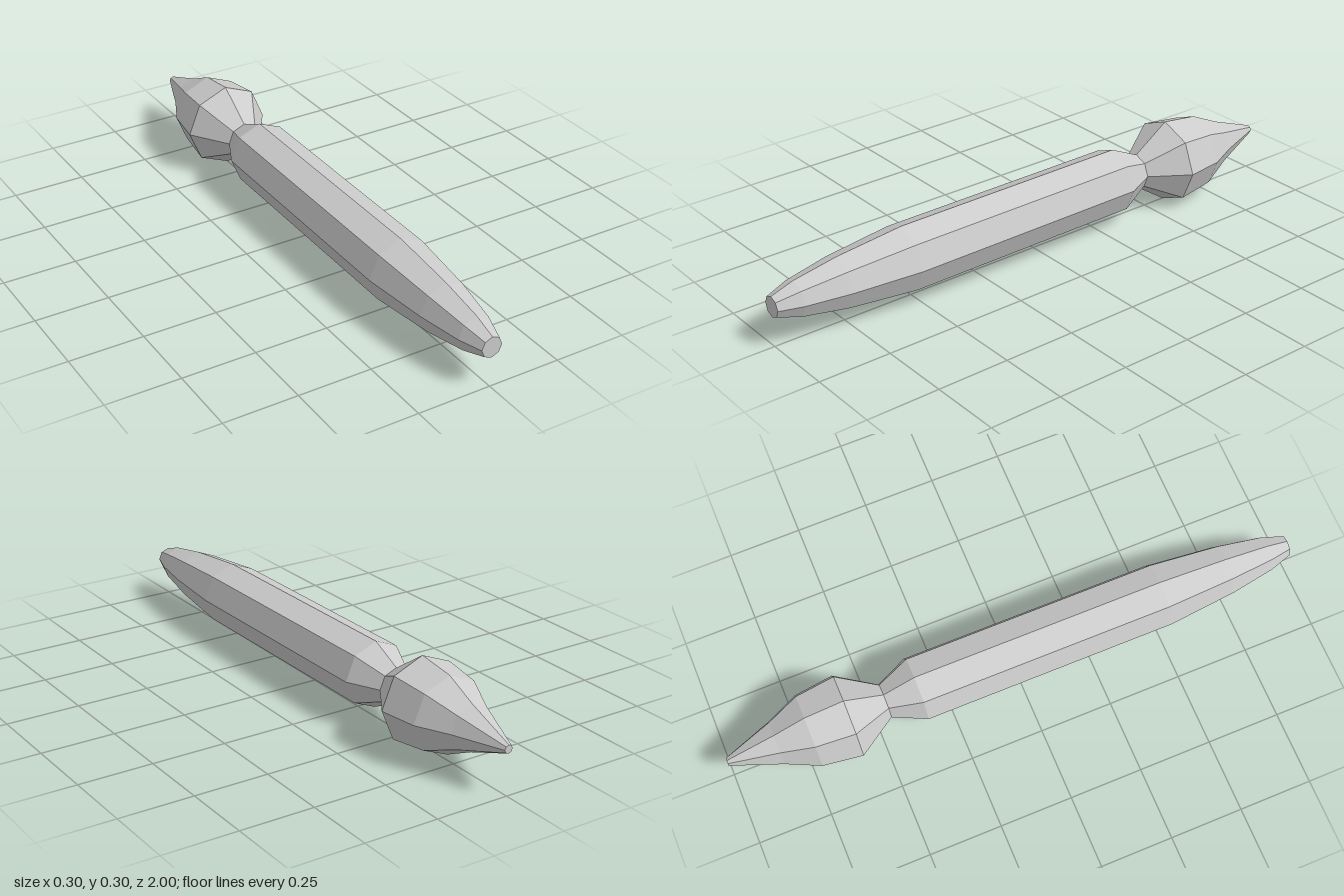
import * as THREE from 'three';

// Eight-sided turned part along z; profile is [radius, z] from back to front
function turned(name, profile, material) {
  const points = profile.map(([r, z]) => new THREE.Vector2(r, z));
  const geometry = new THREE.LatheGeometry(points, 8);
  geometry.rotateX(Math.PI / 2);
  // The axis sits at mid height and dips slightly towards the front
  const pos = geometry.attributes.position;
  for (let i = 0; i < pos.count; i++) {
    pos.setY(i, pos.getY(i) + 0.149 - 0.006 * pos.getZ(i));
  }
  geometry.computeVertexNormals();
  const mesh = new THREE.Mesh(geometry, material);
  mesh.name = name;
  return mesh;
}

export function createModel() {
  const group = new THREE.Group();
  group.name = 'pointedRod';
  const material = new THREE.MeshStandardMaterial({ color: 0xcccccc, flatShading: true });

  // Bulging pointed tip, pinched at the neck
  group.add(turned('tip', [
    [0, -1], [0.014, -1], [0.078, -0.83], [0.13, -0.72], [0.148, -0.585], [0.061, -0.455],
  ], material));

  // Long shaft tapering to a small flat end
  group.add(turned('shaft', [
    [0.061, -0.455], [0.113, -0.345], [0.113, 0.525], [0.089, 0.765], [0.062, 0.92], [0.036, 1], [0, 1],
  ], material));

  return group;
}
